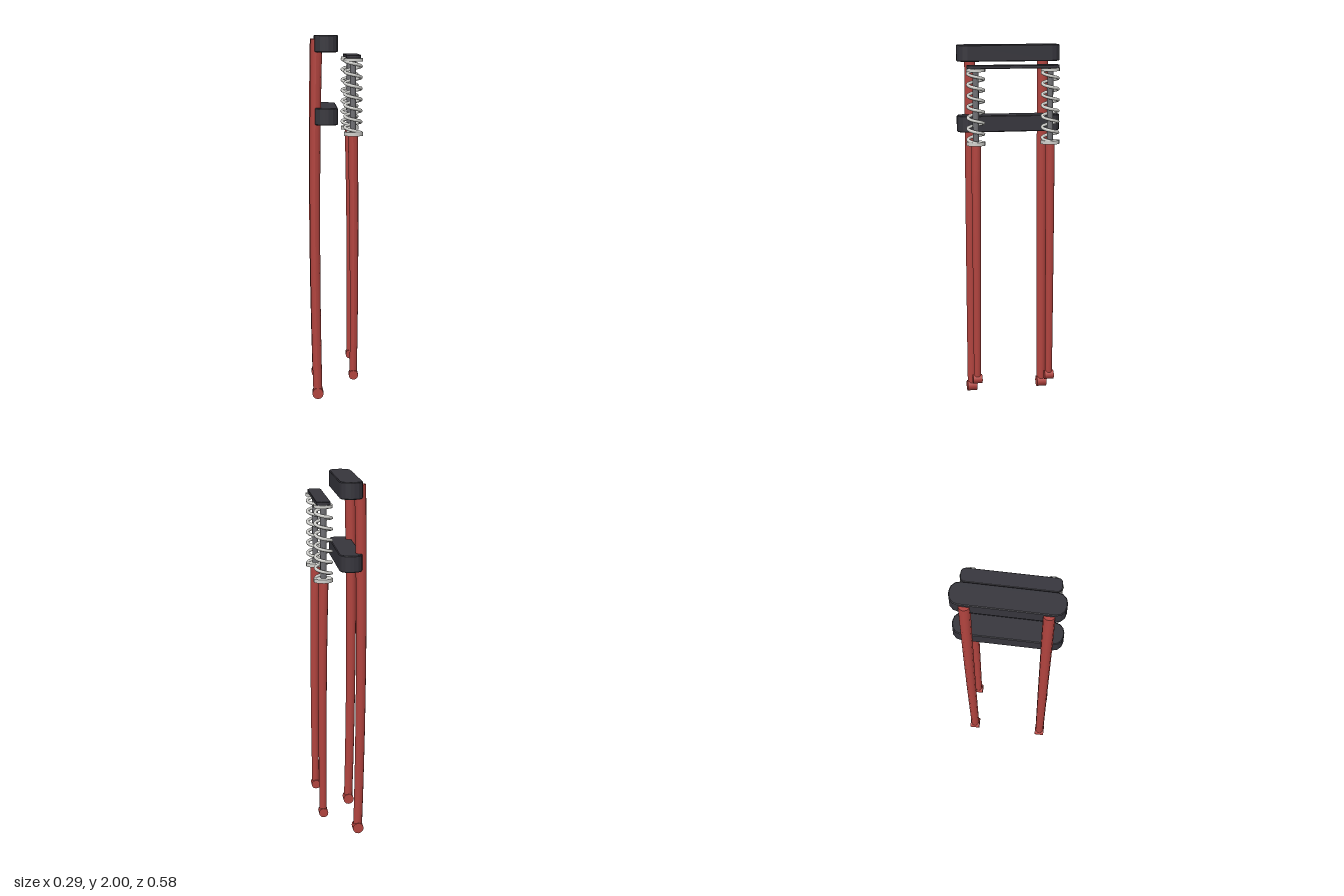
import * as THREE from 'three';

const mat = (name, color) => Object.assign(new THREE.MeshStandardMaterial({ color }), { name });

export function createModel() {
  const red = mat('red paint', 0xb2443f);
  const black = mat('black metal', 0x36353c);
  const silver = mat('silver spring', 0xd2d2ce);
  const grey = mat('grey rod', 0x707074);
  const model = new THREE.Group();
  model.name = 'springFork';

  const add = (parent, name, geometry, material, x = 0, y = 0, z = 0) => {
    const mesh = new THREE.Mesh(geometry, material);
    mesh.name = name;
    mesh.position.set(x, y, z);
    parent.add(mesh);
    return mesh;
  };

  // Tapered tube, gently bowed along x between its two ends
  const bowedTube = (x0, y0, r0, x1, y1, r1, bow) => {
    const g = new THREE.CylinderGeometry(r1, r0, y1 - y0, 12, 8);
    const p = g.attributes.position;
    for (let i = 0; i < p.count; i++) {
      const t = p.getY(i) / (y1 - y0) + 0.5;
      p.setX(i, p.getX(i) + x0 + (x1 - x0) * t + bow * 4 * t * (1 - t));
    }
    g.translate(0, (y0 + y1) / 2, 0);
    g.computeVertexNormals();
    return g;
  };

  // Horizontal bar with rounded ends and a small bevel, lying along z
  const roundedBar = (x0, x1, halfZ, y0, y1, radius, bevel, steps) => {
    const w = (x1 - x0) / 2 - bevel, l = halfZ - bevel, r = radius - bevel;
    const s = new THREE.Shape();
    [[w - r, l - r, 0], [r - w, l - r, 1], [r - w, r - l, 2], [w - r, r - l, 3]].forEach(([cx, cy, q]) => {
      for (let i = 0; i <= steps; i++) {
        const a = (q + i / steps) * Math.PI / 2;
        const x = cx + r * Math.cos(a), y = cy + r * Math.sin(a);
        if (q + i === 0) s.moveTo(x, y); else s.lineTo(x, y);
      }
    });
    const g = new THREE.ExtrudeGeometry(s, {
      depth: y1 - y0 - 2 * bevel, bevelEnabled: true, bevelSize: bevel, bevelThickness: bevel, bevelSegments: 1,
    });
    g.rotateX(-Math.PI / 2);
    g.translate((x0 + x1) / 2, y0 + bevel, 0);
    return g;
  };

  // Helical spring path
  class Helix extends THREE.Curve {
    getPoint(t, target = new THREE.Vector3()) {
      const a = t * 6.5 * Math.PI * 2;
      return target.set(0.043 * Math.cos(a), 1.48 + 0.385 * t, 0.043 * Math.sin(a));
    }
  }

  // Clamps and the front bridge plate
  add(model, 'upperClamp', roundedBar(-0.115, 0.008, 0.288, 1.91, 2.0, 0.053, 0.004, 3), black);
  add(model, 'lowerClamp', roundedBar(-0.115, 0.008, 0.288, 1.525, 1.615, 0.053, 0.004, 3), black);
  add(model, 'bridgePlate', roundedBar(0.054, 0.13, 0.254, 1.878, 1.896, 0.026, 0.002, 4), black);

  for (const side of [1, -1]) {
    const leg = new THREE.Group();
    leg.name = side > 0 ? 'frontSideLegs' : 'backSideLegs';
    leg.position.z = side * 0.206;
    model.add(leg);

    // Main tube and sprung tube with their pivot barrels
    add(leg, 'mainTube', bowedTube(-0.102, 0.035, 0.025, -0.105, 1.98, 0.031, -0.012), red);
    add(leg, 'springTube', bowedTube(0.095, 0.135, 0.02, 0.09, 1.468, 0.027, 0.005), red);
    add(leg, 'mainPivot', new THREE.CylinderGeometry(0.031, 0.031, 0.055, 12), red, -0.102, 0.031).rotation.x = Math.PI / 2;
    add(leg, 'springPivot', new THREE.CylinderGeometry(0.026, 0.026, 0.052, 12), red, 0.095, 0.136).rotation.x = Math.PI / 2;

    // Spring, its seats and the inner rod
    add(leg, 'springRod', new THREE.CylinderGeometry(0.017, 0.017, 0.42, 10), grey, 0.09, 1.67);
    add(leg, 'coilSpring', new THREE.TubeGeometry(new Helix(), 130, 0.009, 7), silver, 0.09);
    add(leg, 'lowerSpringSeat', new THREE.CylinderGeometry(0.053, 0.053, 0.02, 10), silver, 0.092, 1.475);
    add(leg, 'upperSpringSeat', new THREE.CylinderGeometry(0.053, 0.053, 0.016, 10), silver, 0.092, 1.87);
  }
  return model;
}
